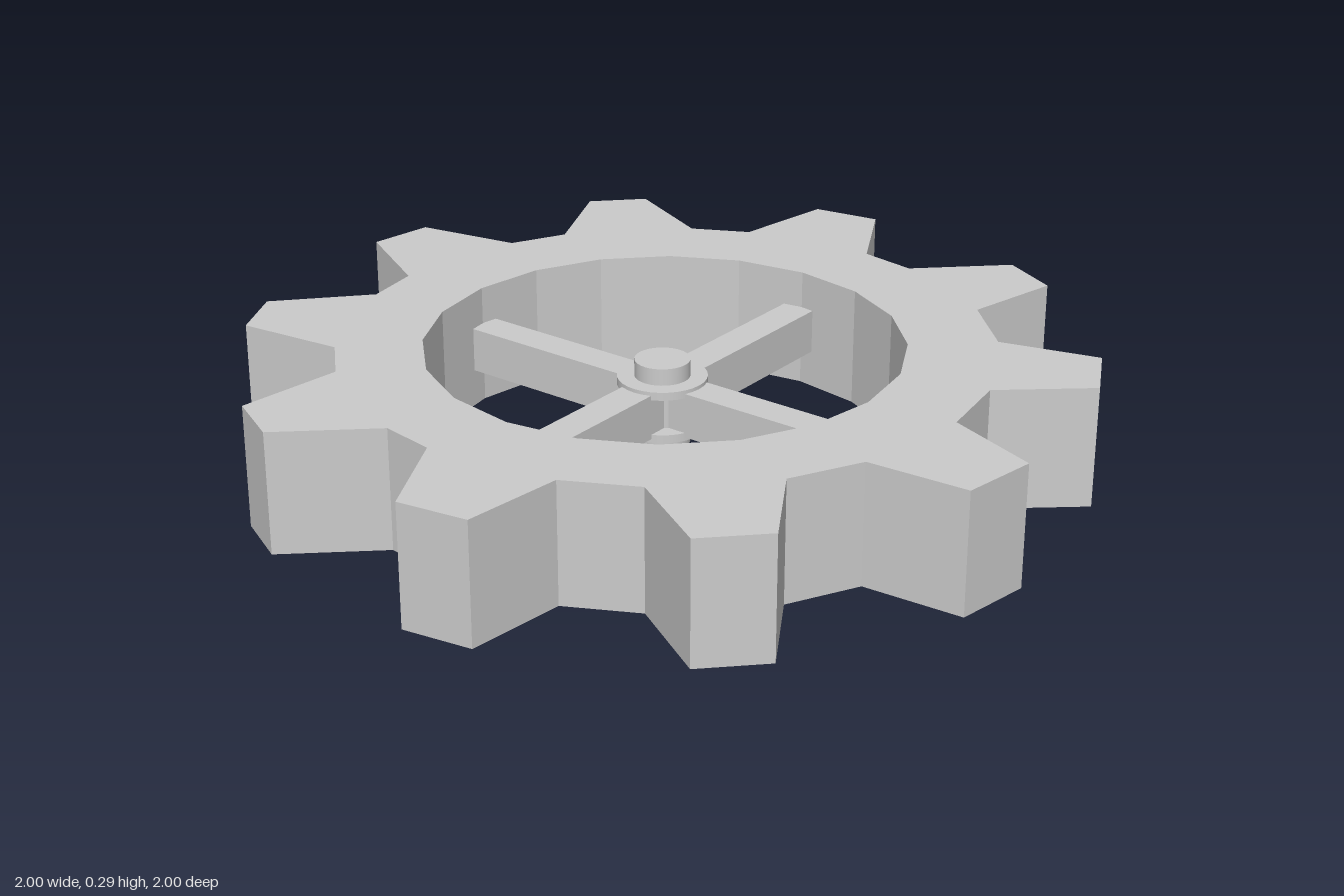
import * as THREE from 'three';

const HEIGHT = 0.295;
const HUB = new THREE.Vector3(-0.004, HEIGHT / 2, -0.011);

export function createModel() {
  const gear = new THREE.Group();
  gear.name = 'gear';
  const flat = new THREE.MeshStandardMaterial({ color: 0xcccccc, flatShading: true });
  const smooth = new THREE.MeshStandardMaterial({ color: 0xcccccc });

  const add = (name, geometry, material, x, y, z) => {
    const mesh = new THREE.Mesh(geometry, material);
    mesh.name = name;
    mesh.position.set(x, y, z);
    gear.add(mesh);
  };
  const polar = (radius, degrees) => {
    const a = THREE.MathUtils.degToRad(degrees);
    return new THREE.Vector2(radius * Math.cos(a), radius * Math.sin(a));
  };

  // Toothed rim: ten slightly uneven teeth, half-widths in degrees
  const toothHalf = [4.8, 4.3, 4.6, 4.45, 4.4, 4.95, 5, 5.4, 5, 4.55];
  const valleyHalf = [5.6, 5.5, 5.25, 5.35, 5.1, 6.9, 7, 7.3, 7.5, 5.3];
  const outline = [];
  for (let i = 0; i < 10; i++) {
    const tooth = 9 + 36 * i;
    const valley = tooth + 18;
    outline.push(
      polar(1.002, tooth - toothHalf[i]), polar(1.002, tooth + toothHalf[i]),
      polar(0.771, valley - valleyHalf[i]), polar(0.771, valley + valleyHalf[i]),
    );
  }
  const shape = new THREE.Shape(outline);

  // Twenty-sided opening
  const hole = [];
  for (let i = 0; i < 20; i++) hole.push(polar(0.565, -18 * i).add(new THREE.Vector2(-0.003, 0.005)));
  shape.holes.push(new THREE.Path(hole));

  const rim = new THREE.ExtrudeGeometry(shape, { depth: HEIGHT, bevelEnabled: false });
  rim.rotateX(-Math.PI / 2);
  add('toothedRim', rim, flat, 0, 0, 0);

  // Crossed spokes
  add('spokeAcross', new THREE.BoxGeometry(1.128, 0.11, 0.085), flat, -0.003, HUB.y, HUB.z);
  add('spokeFrontToBack', new THREE.BoxGeometry(0.085, 0.11, 1.128), flat, HUB.x, HUB.y, -0.005);

  // Axle with a flange above and below the spokes
  add('axle', new THREE.CylinderGeometry(0.066, 0.066, 0.21, 32), smooth, HUB.x, HUB.y, HUB.z);
  for (const side of [1, -1]) {
    add(side > 0 ? 'upperFlange' : 'lowerFlange', new THREE.CylinderGeometry(0.107, 0.107, 0.02, 32),
      smooth, HUB.x, HUB.y + side * 0.054, HUB.z);
  }
  return gear;
}
